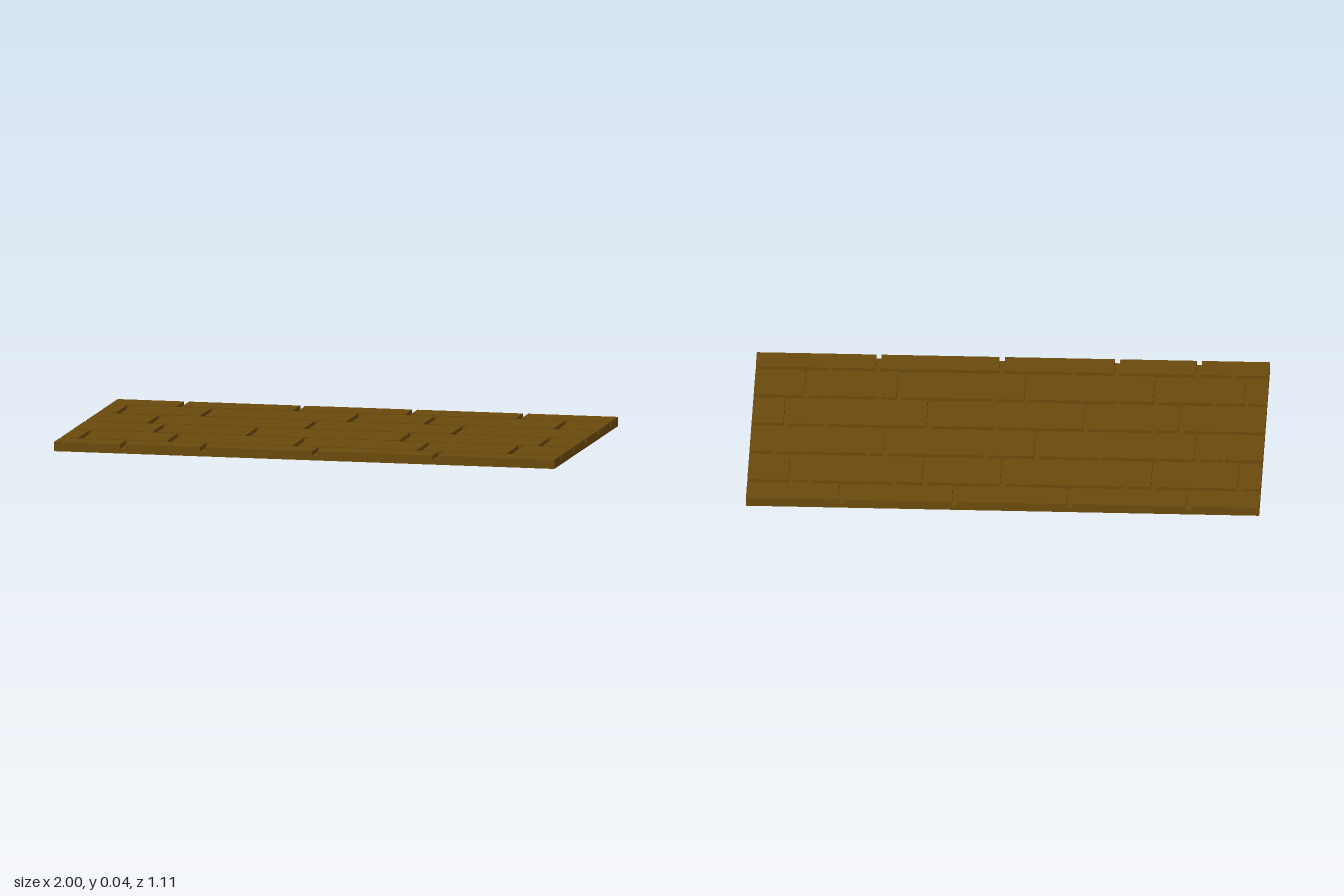
import * as THREE from 'three';

export function createModel() {
  const model = new THREE.Group();
  const wood = new THREE.MeshStandardMaterial({ color: 0x6b4a0d });
  wood.name = 'brown wood';

  const HALF_X = 1, HALF_Z = 0.555, BASE = 0.018, TOP = 0.036, GAP = 0.021, BRIDGE = 0.016;

  function box(name, x0, x1, y0, y1, z0, z1) {
    const mesh = new THREE.Mesh(new THREE.BoxGeometry(x1 - x0, y1 - y0, z1 - z0), wood);
    mesh.position.set((x0 + x1) / 2, (y0 + y1) / 2, (z0 + z1) / 2);
    mesh.name = name;
    model.add(mesh);
  }

  // Solid slab forming the groove floor
  box('baseSlab', -HALF_X, HALF_X, 0, BASE, -HALF_Z, HALF_Z);

  // Centres of the long grooves, back to front
  const grooves = [-0.422, -0.207, 0.008, 0.223, 0.438];

  // Cross joints in each plank row
  const joints = [
    [-0.725, -0.26, 0.187, 0.63],
    [-0.92, -0.583, 0.005, 0.31, 0.83],
    [-0.743, -0.118, 0.47],
    [-0.674, -0.3, 0.31, 0.866],
    [-0.92, -0.567, -0.064, 0.433, 0.794],
    [-0.725, -0.406, 0.043, 0.524],
  ];

  // Small uncut bridges that interrupt each long groove
  const bridges = [
    [-0.476, 0.428, 0.76],
    [-0.85, -0.37, 0.075, 0.535, 0.904],
    [-0.567, 0.043, 0.71],
    [-0.797, -0.42, 0.06, 0.505],
    [-0.866, -0.652, -0.24, 0.706],
  ];

  // Raised planks
  joints.forEach((row, r) => {
    const z0 = r === 0 ? -HALF_Z : grooves[r - 1] + GAP / 2;
    const z1 = r === grooves.length ? HALF_Z : grooves[r] - GAP / 2;
    for (let i = 0; i <= row.length; i++) {
      const x0 = i === 0 ? -HALF_X : row[i - 1] + GAP / 2;
      const x1 = i === row.length ? HALF_X : row[i] - GAP / 2;
      box('plank', x0, x1, BASE, TOP, z0, z1);
    }
  });

  // Bridges between rows
  bridges.forEach((row, r) => row.forEach((x) =>
    box('grooveBridge', x - BRIDGE / 2, x + BRIDGE / 2, BASE, TOP, grooves[r] - GAP / 2, grooves[r] + GAP / 2)));

  return model;
}
